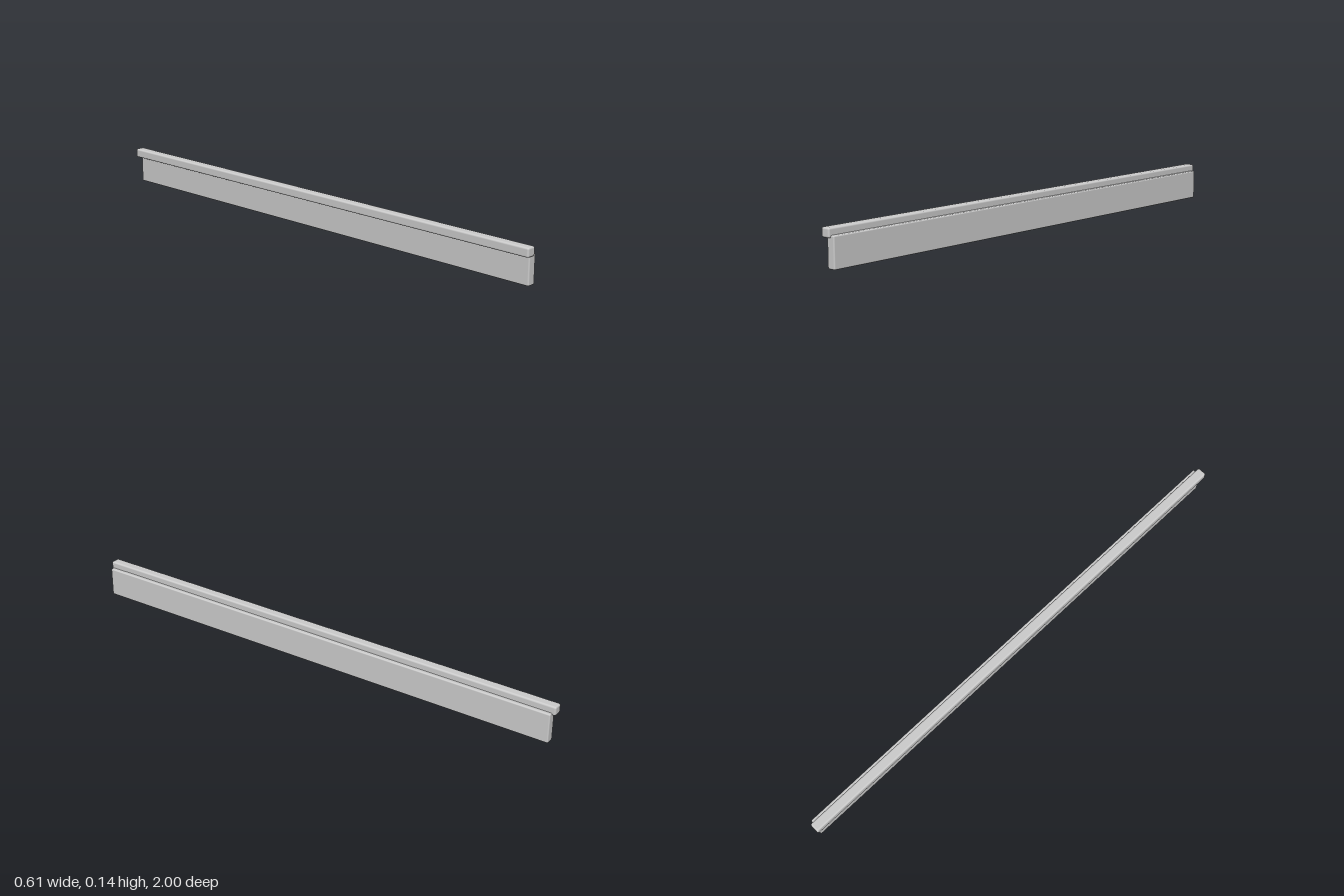
import * as THREE from 'three';
import { RoundedBoxGeometry } from 'three/addons/geometries/RoundedBoxGeometry.js';

export function createModel() {
  const group = new THREE.Group();
  group.name = 'cappedRail';
  const grey = new THREE.MeshStandardMaterial({ color: 0xcccccc });
  grey.name = 'light grey';

  const angle = THREE.MathUtils.degToRad(15.9);

  // Long softened bar lying along the slanted direction
  function bar(name, width, length, y0, y1, x, z, radius) {
    const geometry = new RoundedBoxGeometry(width, y1 - y0, length, 3, radius);
    const mesh = new THREE.Mesh(geometry, grey);
    mesh.name = name;
    mesh.position.set(x, (y0 + y1) / 2, z);
    mesh.rotation.y = angle;
    group.add(mesh);
  }

  // Upright panel, stepped out to one side beneath the top
  bar('panel', 0.035, 2.05, 0, 0.117, 0.0105, -0.0025, 0.005);
  // Overhanging cap
  bar('cap', 0.039, 2.071, 0.107, 0.143, -0.007, 0, 0.007);

  return group;
}
